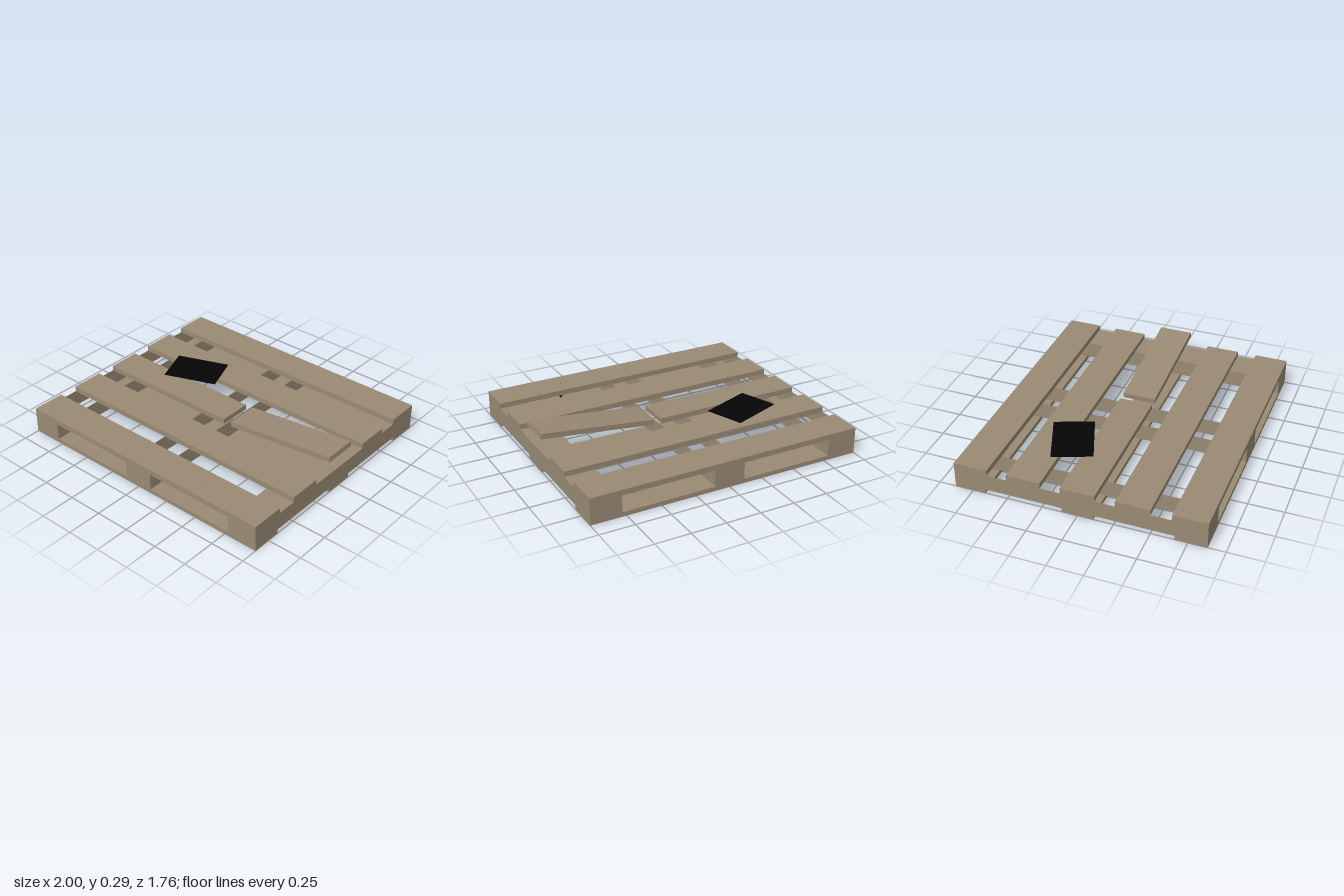
import * as THREE from 'three';

export function createModel() {
  const group = new THREE.Group();
  const wood = new THREE.MeshStandardMaterial({ color: 0x998a74, side: THREE.DoubleSide });
  wood.name = 'weathered wood';
  const black = new THREE.MeshStandardMaterial({ color: 0x050505, side: THREE.DoubleSide });
  black.name = 'black';

  const add = (name, geometry, material, x, y, z, parent = group) => {
    const mesh = new THREE.Mesh(geometry, material);
    mesh.name = name;
    mesh.position.set(x, y, z);
    parent.add(mesh);
    return mesh;
  };
  // Box given by its limits on each axis
  const slab = (name, x0, x1, y0, y1, z0, z1) => add(name,
    new THREE.BoxGeometry(x1 - x0, y1 - y0, z1 - z0), wood,
    (x0 + x1) / 2, (y0 + y1) / 2, (z0 + z1) / 2);

  // Deck boards; the middle one is broken off short
  for (const z of [-0.76, -0.38, 0.38, 0.76]) slab('deckBoard', -1, 1, 0.152, 0.191, z - 0.12, z + 0.12);
  slab('brokenDeckBoard', -1, 0.098, 0.152, 0.191, -0.12, 0.12);

  // Loose half of the broken board, lifted at its outer end
  const loose = add('looseBoard', new THREE.BoxGeometry(0.84, 0.038, 0.24), wood, 0.578, 0.222, 0);
  loose.rotation.z = 0.107;

  // Runners on the ground
  for (const z of [-0.77, 0, 0.77]) slab('bottomBoard', -1, 1, 0, 0.031, z - 0.11, z + 0.11);

  // Hollow cross beams, open below; only the one under the loose board is closed on top
  for (const x of [-0.89, 0, 0.89]) {
    const beam = slab('crossBeam', x - 0.11, x + 0.11, 0.031, 0.152, -0.88, 0.88);
    const index = Array.from(beam.geometry.index.array);
    if (x > 0.5) index.splice(18, 6);
    else index.splice(12, 12);
    beam.geometry.setIndex(index);
    beam.geometry.clearGroups();
  }

  // Black sheet lying askew on the deck
  const sheet = add('blackSheet', new THREE.BoxGeometry(0.396, 0.004, 0.287), black, -0.48, 0.195, -0.243);
  sheet.rotation.y = 0.36;

  // Dark drip hanging through the front board
  const drip = new THREE.Shape([[-0.006, 0.04], [-0.035, 0], [-0.02, -0.055], [0, -0.08],
    [0.015, -0.06], [0.03, 0], [0.006, 0.04]].map(([x, y]) => new THREE.Vector2(x, y)));
  add('drip', new THREE.ShapeGeometry(drip), black, 0.48, 0.152, 0.76);

  // Stains on the undersides
  const stain = (x, y, z, rx, rz, parent) => {
    const mesh = add('stain', new THREE.CircleGeometry(1, 9), black, x, y, z, parent);
    mesh.rotation.x = Math.PI / 2;
    mesh.scale.set(rx, rz, 1);
  };
  stain(-0.3, 0.15, -0.38, 0.14, 0.1, group);
  stain(0.29, -0.021, 0, 0.05, 0.08, loose);

  return group;
}
